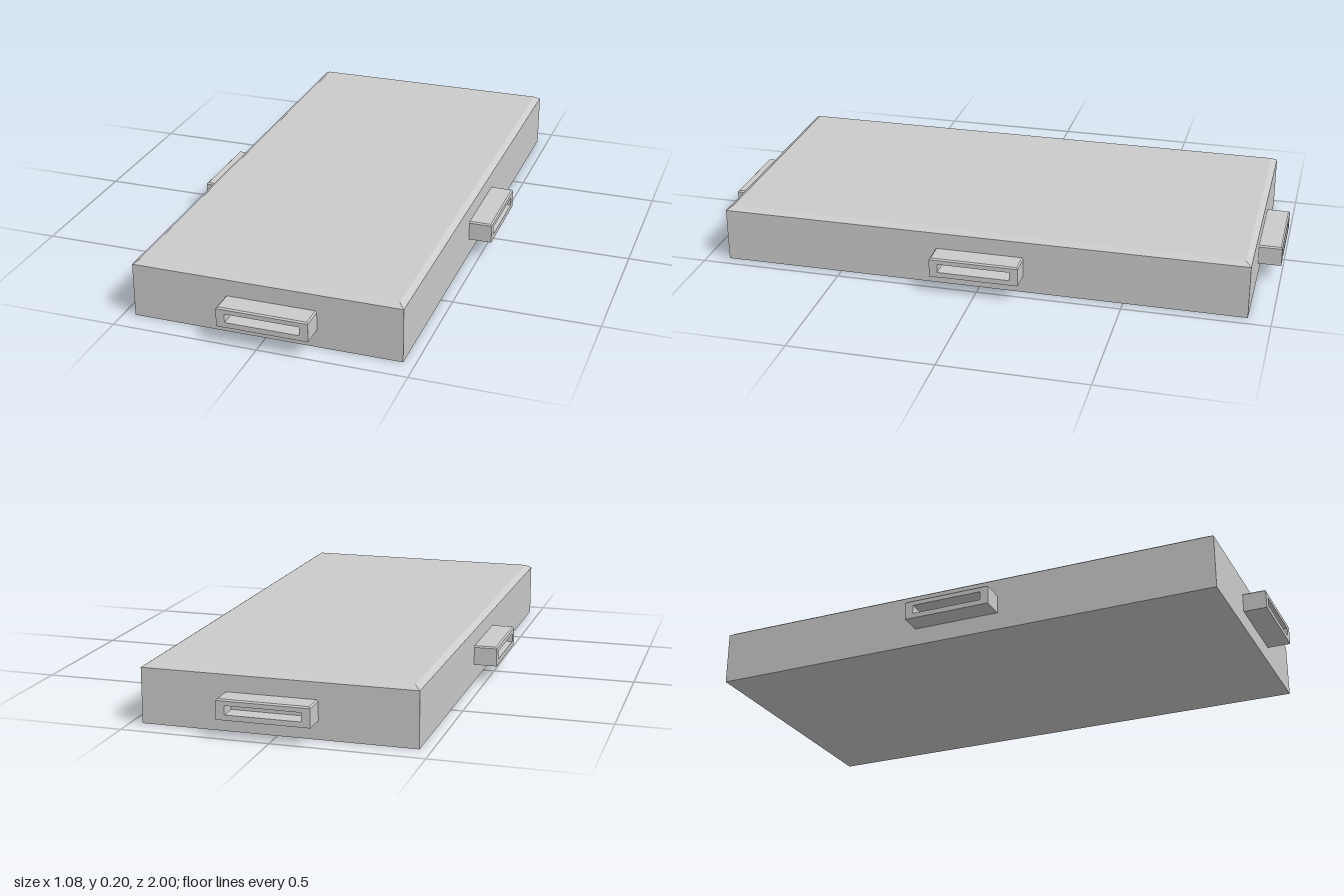
import * as THREE from 'three';

const material = new THREE.MeshStandardMaterial({ color: 0xcccccc, flatShading: true });

// Rectangle loop at depth z, counter-clockwise, with its two top corners cut by c
const loop = (halfW, y0, y1, z, c = 0) => [
  [-halfW, y0, z], [halfW, y0, z], [halfW, y1 - c, z],
  [halfW - c, y1, z], [-halfW + c, y1, z], [-halfW, y1 - c, z],
];

// Skin a row of loops along z and cap both ends
function loft(name, loops) {
  const pos = [];
  const tri = (a, b, c) => pos.push(...a, ...b, ...c);
  const n = loops[0].length;
  for (let k = 0; k < loops.length - 1; k++) {
    const a = loops[k], b = loops[k + 1];
    for (let i = 0; i < n; i++) {
      const j = (i + 1) % n;
      tri(a[i], a[j], b[j]);
      tri(a[i], b[j], b[i]);
    }
  }
  const first = loops[0], last = loops[loops.length - 1];
  for (let i = 1; i < n - 1; i++) {
    tri(first[0], first[i + 1], first[i]);
    tri(last[0], last[i], last[i + 1]);
  }
  const geometry = new THREE.BufferGeometry();
  geometry.setAttribute('position', new THREE.Float32BufferAttribute(pos, 3));
  geometry.computeVertexNormals();
  const mesh = new THREE.Mesh(geometry, material);
  mesh.name = name;
  return mesh;
}

// Socket block pointing to +z, with a recessed slot in its end
function makeConnector(name) {
  const length = 0.08, c = 0.005;
  return loft(name, [
    loop(0.155, 0.062, 0.13, 0, c),
    loop(0.155, 0.062, 0.13, length - c, c),
    loop(0.155, 0.062, 0.13 - c, length),
    loop(0.126, 0.08, 0.11, length),
    loop(0.126, 0.08, 0.11, length - 0.06),
  ]);
}

export function createModel() {
  const model = new THREE.Group();

  // Flat slab with a chamfer around its top face
  const body = loft('body', [
    loop(0.46, -0.92, 0.92, 0),
    loop(0.46, -0.92, 0.92, 0.187),
    loop(0.44, -0.90, 0.90, 0.2),
  ]);
  body.rotation.x = -Math.PI / 2;
  model.add(body);

  // One connector in the middle of each side
  const sides = [
    ['frontConnector', 0.02, 0.92, 0],
    ['leftConnector', 0.46, 0, Math.PI / 2],
    ['backConnector', 0.02, -0.92, Math.PI],
    ['rightConnector', -0.46, 0, -Math.PI / 2],
  ];
  for (const [name, x, z, turn] of sides) {
    const connector = makeConnector(name);
    connector.position.set(x, 0, z);
    connector.rotation.y = turn;
    model.add(connector);
  }
  return model;
}
